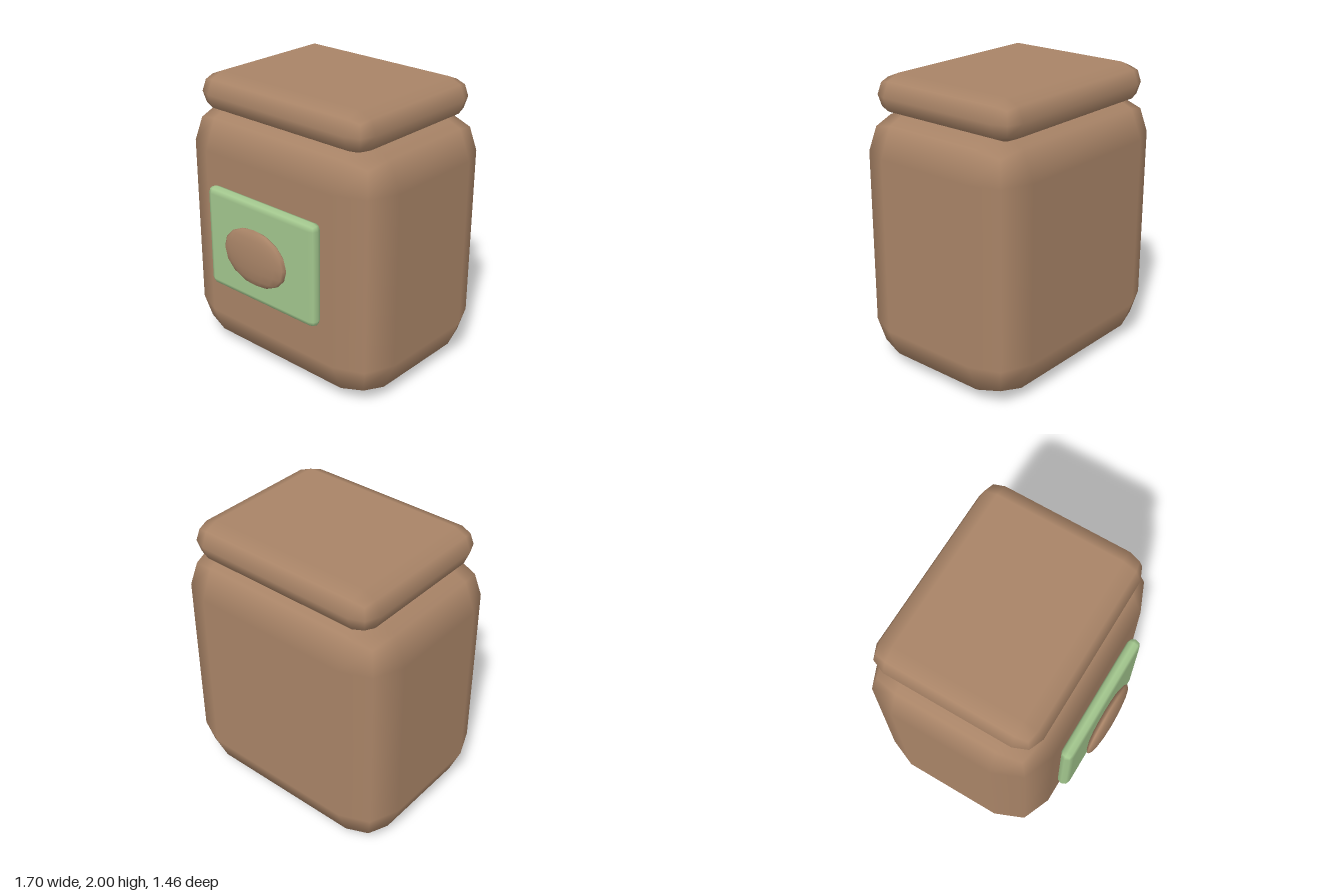
import * as THREE from 'three';
import { RoundedBoxGeometry } from 'three/addons/geometries/RoundedBoxGeometry.js';

export function createModel() {
  const model = new THREE.Group();
  model.name = 'jar';

  const brown = new THREE.MeshStandardMaterial({ color: 0xa98467 });
  brown.name = 'warm brown';
  const green = new THREE.MeshStandardMaterial({ color: 0xa3c78e });
  green.name = 'soft green';

  function add(name, geometry, material, x, y, z) {
    const mesh = new THREE.Mesh(geometry, material);
    mesh.name = name;
    mesh.position.set(x, y, z);
    model.add(mesh);
    return mesh;
  }

  // Square jar with one wide bevel step along its edges
  add('body', new RoundedBoxGeometry(1.7, 1.785, 1.29, 1, 0.285), brown, 0, 0.8925, -0.085);

  // Lid, with edges rounded over its full height
  add('lid', new RoundedBoxGeometry(1.455, 0.275, 1.17, 1, 0.1375), brown, 0, 1.8625, -0.085);

  // Label plate on the front
  add('label', new RoundedBoxGeometry(0.965, 0.725, 0.09, 1, 0.045), green, 0, 0.9325, 0.605);

  // Flattened oval bean on the label
  const bean = new THREE.SphereGeometry(1, 16, 8);
  bean.scale(0.282, 0.2, 0.045);
  add('bean', bean, brown, 0, 0.9325, 0.683);

  return model;
}
